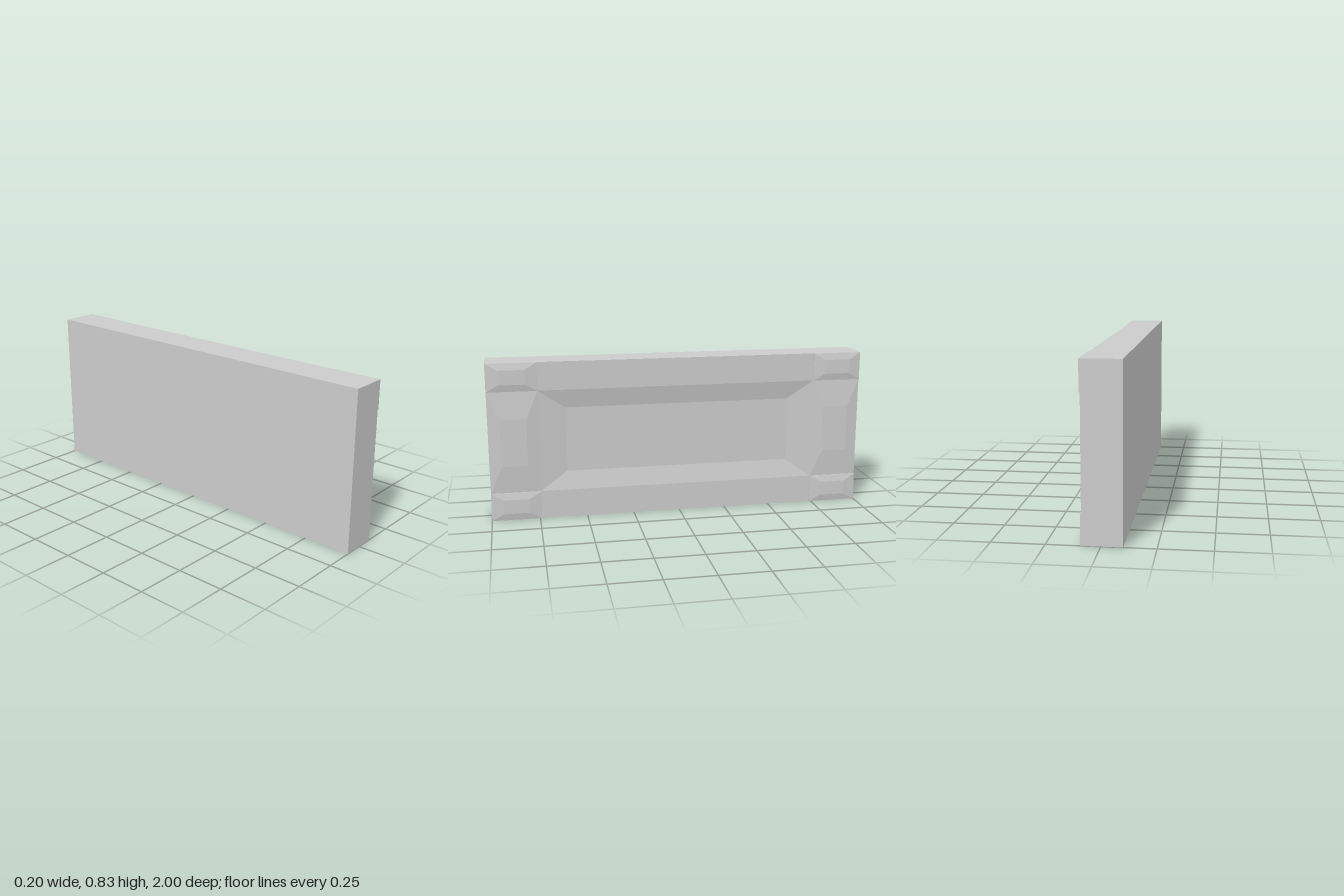
import * as THREE from 'three';

const H = 0.835;           // slab height
const FACE = 0.087;        // level of the carved face
const EDGE_Z = 0.74;       // inner edge of the end panels
const EDGE_Y = 0.148;      // height of the border strips

const material = new THREE.MeshStandardMaterial({ color: 0xcccccc, flatShading: true });

// Rectangular section in the zy plane at a given x, inset by dz and dy
const section = (x, [z0, z1, y0, y1], dz = 0, dy = 0) => [
  [x, y0 + dy, z1 - dz], [x, y0 + dy, z0 + dz],
  [x, y1 - dy, z0 + dz], [x, y1 - dy, z1 - dz],
];

// Joins successive sections with quads and closes the chosen ends
function loft(name, sections, capStart, capEnd) {
  const pos = [];
  const quad = (a, b, c, d) => pos.push(...a, ...b, ...c, ...a, ...c, ...d);
  for (let s = 0; s < sections.length - 1; s++) {
    const p = sections[s], q = sections[s + 1];
    for (let i = 0; i < 4; i++) {
      const j = (i + 1) % 4;
      quad(p[i], p[j], q[j], q[i]);
    }
  }
  if (capStart) quad(...[...sections[0]].reverse());
  if (capEnd) quad(...sections[sections.length - 1]);
  const geometry = new THREE.BufferGeometry();
  geometry.setAttribute('position', new THREE.Float32BufferAttribute(pos, 3));
  geometry.computeVertexNormals();
  const mesh = new THREE.Mesh(geometry, material);
  mesh.name = name;
  return mesh;
}

export function createModel() {
  const group = new THREE.Group();
  group.name = 'panelledSlab';

  // Plain back, top, bottom and ends
  const whole = [-1, 1, 0, H];
  group.add(loft('slabBody', [section(-0.1, whole), section(FACE, whole)], true, false));

  // Sunken centre panel with sloping sides
  const centre = [-EDGE_Z, EDGE_Z, EDGE_Y, H - EDGE_Y];
  group.add(loft('centreRecess',
    [section(FACE, centre), section(FACE - 0.021, centre, 0.14, 0.098)], false, true));

  // Flat strips above and below the recess
  for (const [name, y0] of [['bottomStrip', 0], ['topStrip', H - EDGE_Y]]) {
    group.add(loft(name, [section(FACE, [-EDGE_Z, EDGE_Z, y0, y0 + EDGE_Y])], false, true));
  }

  for (const [end, z0] of [['Front', EDGE_Z], ['Back', -1]]) {
    const z1 = z0 + 1 - EDGE_Z;

    // Raised bevelled panel at each end
    const rect = [z0, z1, EDGE_Y, H - EDGE_Y];
    group.add(loft(`endPanel${end}`,
      [section(FACE, rect), section(0.098, rect, 0.062, 0.145)], false, true));

    // Bevelled corner blocks
    for (const [level, y0] of [['Bottom', 0], ['Top', H - EDGE_Y]]) {
      const corner = [z0, z1, y0, y0 + EDGE_Y];
      group.add(loft(`cornerBlock${level}${end}`,
        [section(FACE, corner), section(0.092, corner), section(0.1, corner, 0.062, 0.036)],
        false, true));
    }
  }
  return group;
}
